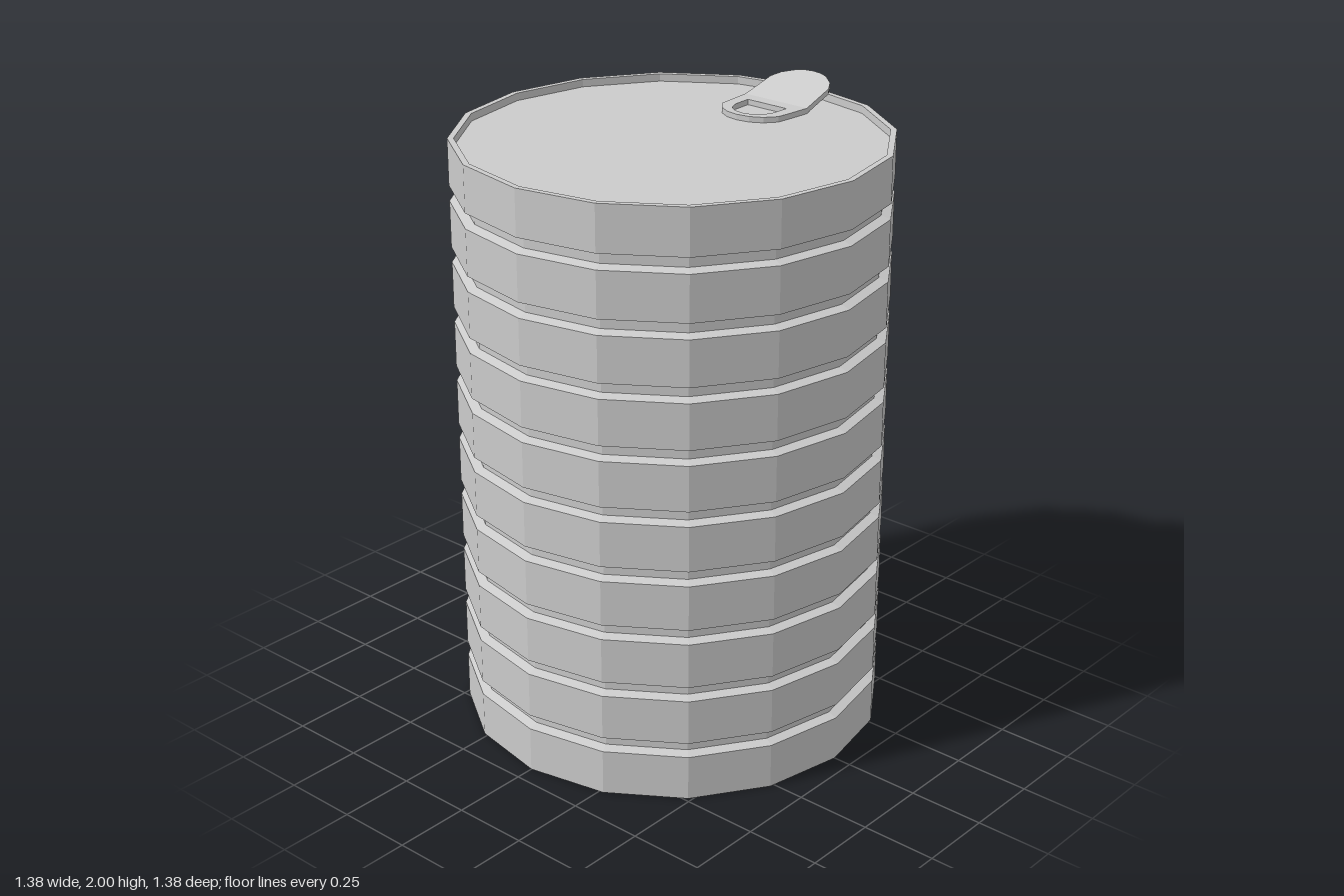
import * as THREE from 'three';

const SIDES = 16, R = 0.69, GROOVE_R = 0.66, RIM_R = 0.67;
const TOP = 1.95, LID_Y = 1.925, BASE_Y = 0.03;
const TAB_THICK = 0.018, BEND = 0.5, SLOPE = 0.3;

const v2 = (x, y) => new THREE.Vector2(x, y);

// Mirrors the right half of an outline, listed from front to back, across x = 0
function mirrored(half) {
  const left = half.filter(([x]) => x > 0).reverse().map(([x, y]) => [-x, y]);
  return [...half, ...left].map(([x, y]) => v2(x, y));
}

// Flat plate in the xz plane (outline y points to the back), lifted behind the bend line
function tabPlate(outline, hole) {
  const shape = new THREE.Shape(outline);
  if (hole) shape.holes.push(new THREE.Path(hole));
  const geo = new THREE.ExtrudeGeometry(shape, { depth: TAB_THICK, bevelEnabled: false });
  geo.rotateX(-Math.PI / 2);
  const p = geo.attributes.position;
  for (let i = 0; i < p.count; i++) {
    p.setY(i, p.getY(i) + LID_Y + Math.max(0, -p.getZ(i) - BEND) * SLOPE);
  }
  geo.computeVertexNormals();
  return geo;
}

export function createModel() {
  const group = new THREE.Group();
  const material = new THREE.MeshStandardMaterial({ color: 0xcccccc, flatShading: true });
  const add = (name, geometry, parent = group) => {
    const mesh = new THREE.Mesh(geometry, material);
    mesh.name = name;
    parent.add(mesh);
  };

  // Can body: recessed base, nine grooves, thin rim and recessed lid
  const profile = [v2(0, BASE_Y), v2(RIM_R, BASE_Y), v2(RIM_R, 0), v2(R, 0)];
  for (let i = 0; i < 9; i++) {
    const y = 0.15 + i * 0.2;
    profile.push(v2(R, y), v2(GROOVE_R, y + 0.01), v2(GROOVE_R, y + 0.04), v2(R, y + 0.05));
  }
  profile.push(v2(R, TOP), v2(RIM_R, TOP), v2(RIM_R, LID_Y), v2(0, LID_Y));
  add('canBody', new THREE.LatheGeometry(profile, SIDES));

  // Pull tab: flat front with a finger hole, back half bent upward over the rim
  const tab = new THREE.Group();
  tab.name = 'pullTab';
  group.add(tab);
  const front = mirrored([
    [0, 0.303], [0.045, 0.31], [0.085, 0.332], [0.115, 0.37], [0.12, 0.42], [0.126, BEND],
  ]);
  const hole = mirrored([
    [0, 0.327], [0.035, 0.335], [0.062, 0.355], [0.076, 0.39], [0.079, 0.455],
  ]);
  const back = mirrored([
    [0.126, BEND], [0.119, 0.62], [0.1, 0.652], [0.06, 0.681], [0.03, 0.69], [0, 0.693],
  ]);
  add('tabFront', tabPlate(front, hole), tab);
  add('tabLiftedEnd', tabPlate(back), tab);

  return group;
}
